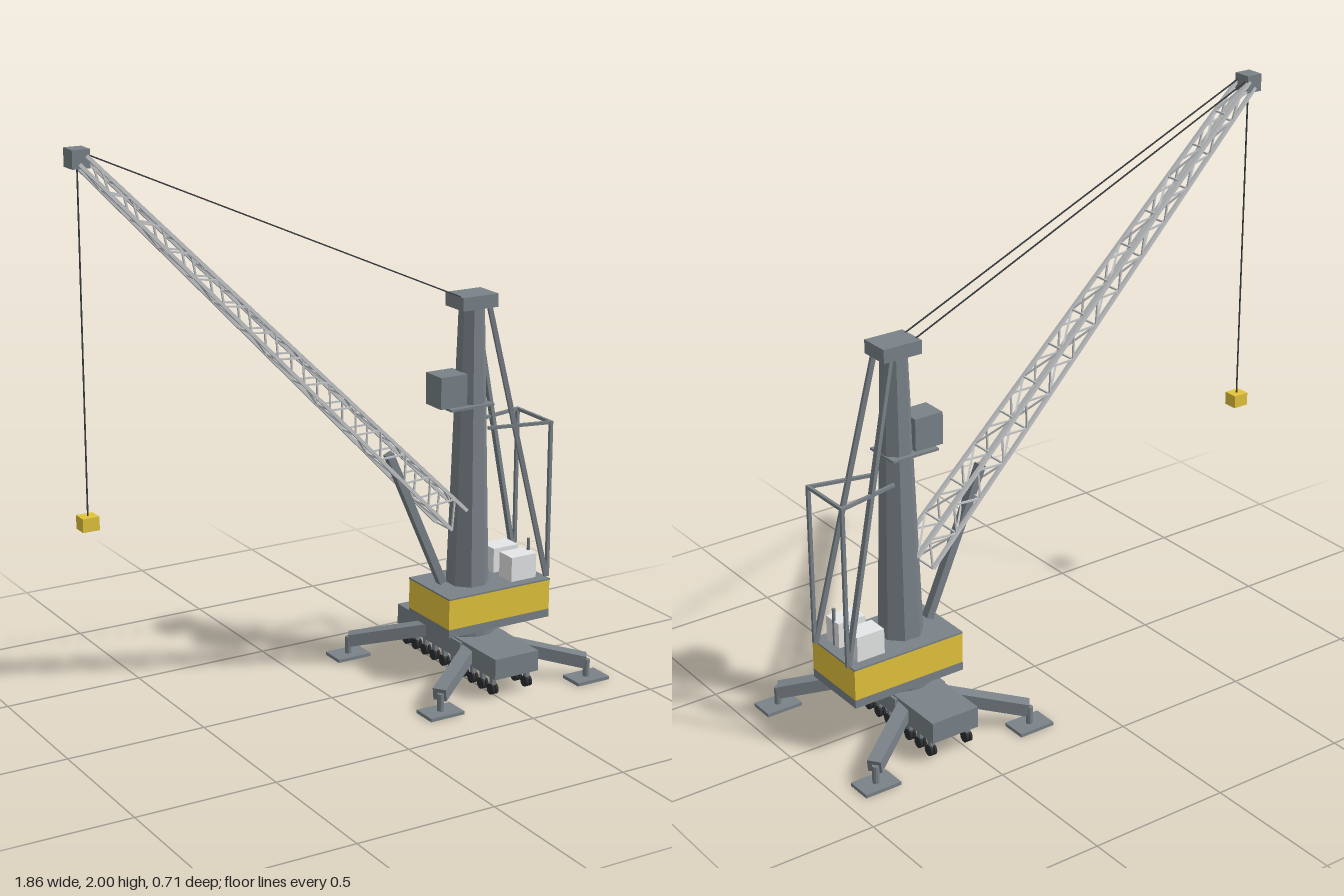
import * as THREE from 'three';

export function createModel() {
  const crane = new THREE.Group();
  crane.name = 'harbourCrane';
  const mat = (name, color, flat = false) => {
    const m = new THREE.MeshStandardMaterial({ color, flatShading: flat });
    m.name = name;
    return m;
  };
  const steel = mat('steelGrey', 0x7a8288, true);
  const yellow = mat('yellow', 0xe4c43c);
  const pale = mat('paleGrey', 0xe6e7e8);
  const boomGrey = mat('boomGrey', 0xc6c8ca);
  const rubber = mat('rubber', 0x2c2e30);
  const cable = mat('cable', 0x3a3d40);

  const add = (name, geo, material, x = 0, y = 0, z = 0, parent = crane) => {
    const m = new THREE.Mesh(geo, material);
    m.name = name;
    m.position.set(x, y, z);
    parent.add(m);
    return m;
  };
  // Box given by its limits on each axis
  const box = (name, material, x0, x1, y0, y1, z0, z1, parent = crane) =>
    add(name, new THREE.BoxGeometry(x1 - x0, y1 - y0, z1 - z0), material,
      (x0 + x1) / 2, (y0 + y1) / 2, (z0 + z1) / 2, parent);
  // Rectangular beam from a to b
  const beam = (name, material, a, b, w, h = w, parent = crane) => {
    const p = new THREE.Vector3(...a), q = new THREE.Vector3(...b);
    const m = add(name, new THREE.BoxGeometry(w, h, p.distanceTo(q)), material, 0, 0, 0, parent);
    m.position.copy(p).add(q).multiplyScalar(0.5);
    m.lookAt(q);
    return m;
  };
  const group = (name) => {
    const g = new THREE.Group();
    g.name = name;
    crane.add(g);
    return g;
  };
  const CX = 0.557;

  // Chassis and slewing ring
  box('chassis', steel, CX - 0.09, CX + 0.09, 0.08, 0.155, -0.317, 0.317);
  box('chassisHub', steel, CX - 0.1, CX + 0.1, 0.09, 0.15, -0.11, 0.11);
  add('slewingRing', new THREE.CylinderGeometry(0.105, 0.105, 0.035, 24), steel, CX, 0.17, 0);

  // Wheels in two rows, a pair of tyres on each post
  const wheels = group('wheels');
  const tyre = new THREE.CylinderGeometry(0.02, 0.02, 0.009, 14).rotateZ(Math.PI / 2);
  for (let i = 0; i < 10; i++) {
    const z = -0.275 + i * 0.0611;
    for (const s of [-1, 1]) {
      const x = CX + s * 0.071;
      box('wheelPost', steel, x - 0.008, x + 0.008, 0.035, 0.085, z - 0.009, z + 0.009, wheels);
      for (const d of [-0.007, 0.007]) add('tyre', tyre, rubber, x + d, 0.031, z, wheels);
    }
  }

  // Outriggers
  for (const sx of [-1, 1]) for (const sz of [-1, 1]) {
    const x = CX + sx * 0.307, z = sz * 0.307;
    beam('outriggerArm', steel, [CX + sx * 0.03, 0.132, sz * 0.1], [x, 0.067, sz * 0.3], 0.048, 0.045);
    add('outriggerJack', new THREE.CylinderGeometry(0.012, 0.012, 0.065, 12), steel, x, 0.042, z);
    box('outriggerPad', steel, x - 0.067, x + 0.067, 0, 0.012, z - 0.046, z + 0.046);
  }

  // Rotating platform
  box('platformBase', steel, 0.397, 0.822, 0.185, 0.215, -0.13, 0.13);
  box('platformBody', yellow, 0.397, 0.822, 0.215, 0.324, -0.13, 0.13);
  box('platformDeck', steel, 0.396, 0.823, 0.324, 0.33, -0.131, 0.131);
  for (const s of [-1, 1]) box('machineHouse', pale, 0.682, 0.787, 0.33, 0.42,
    Math.min(s * 0.018, s * 0.095), Math.max(s * 0.018, s * 0.095));
  add('exhaust', new THREE.CylinderGeometry(0.006, 0.006, 0.135, 10), steel, 0.784, 0.397, 0.05);

  // Eight sided tapered tower
  add('tower', new THREE.CylinderGeometry(0.046, 0.077, 1.0, 8).rotateY(Math.PI / 8), steel, CX, 0.83, 0);
  box('towerHead', steel, 0.485, 0.629, 1.33, 1.377, -0.056, 0.056);
  box('cab', steel, 0.405, 0.512, 0.992, 1.105, -0.048, 0.048);
  box('cabWalkway', steel, 0.435, 0.612, 0.984, 0.992, -0.068, 0.068);

  // Rear stays and access frame
  for (const s of [-1, 1]) {
    beam('rearStay', steel, [0.6, 1.335, s * 0.045], [0.827, 0.33, s * 0.1], 0.016);
    beam('framePost', steel, [0.83, 0.33, s * 0.102], [0.83, 0.905, s * 0.102], 0.012);
    beam('frameRail', steel, [0.6, 0.9, s * 0.05], [0.83, 0.9, s * 0.102], 0.011);
  }
  beam('frameCrossbar', steel, [0.83, 0.9, -0.107], [0.83, 0.9, 0.107], 0.011);

  // Lattice boom: t runs from foot to tip, v is -1 lower or 1 upper, s is the side
  const boom = group('boom');
  const at = (t, v, s) => {
    const half = THREE.MathUtils.lerp(0.043, 0.017, t) * Math.SQRT1_2;
    return [
      THREE.MathUtils.lerp(0.486, -0.895, t) + v * half,
      THREE.MathUtils.lerp(0.582, 1.967, t) + v * half,
      s * THREE.MathUtils.lerp(0.05, 0.028, t)
    ];
  };
  for (const v of [-1, 1]) for (const s of [-1, 1])
    beam('boomChord', boomGrey, at(0, v, s), at(1, v, s), 0.012, 0.012, boom);
  const BAYS = 14;
  for (let i = 0; i < BAYS; i++) {
    const t0 = i / BAYS, t1 = (i + 1) / BAYS, tm = (t0 + t1) / 2;
    for (const s of [-1, 1]) {
      beam('sideLacing', boomGrey, at(t0, -1, s), at(tm, 1, s), 0.006, 0.006, boom);
      beam('sideLacing', boomGrey, at(tm, 1, s), at(t1, -1, s), 0.006, 0.006, boom);
    }
    for (const v of [-1, 1]) {
      const d = i % 2 ? v : -v;
      beam('faceLacing', boomGrey, at(t0, v, d), at(t1, v, -d), 0.006, 0.006, boom);
      beam('faceStrut', boomGrey, at(t0, v, -1), at(t0, v, 1), 0.006, 0.006, boom);
    }
  }
  box('boomHead', steel, -0.932, -0.872, 1.94, 2.0, -0.032, 0.032);

  // Luffing cylinder
  beam('luffingCylinder', steel, [0.448, 0.345, 0], [0.225, 0.85, 0], 0.03, 0.028);

  // Cables and hook block
  for (const s of [-1, 1])
    beam('stayCable', cable, [-0.885, 1.985, s * 0.02], [0.495, 1.374, s * 0.03], 0.004);
  beam('hoistCable', cable, [-0.902, 1.95, 0], [-0.902, 0.82, 0], 0.004);
  box('hookBlock', yellow, -0.931, -0.873, 0.774, 0.82, -0.026, 0.026);

  return crane;
}
